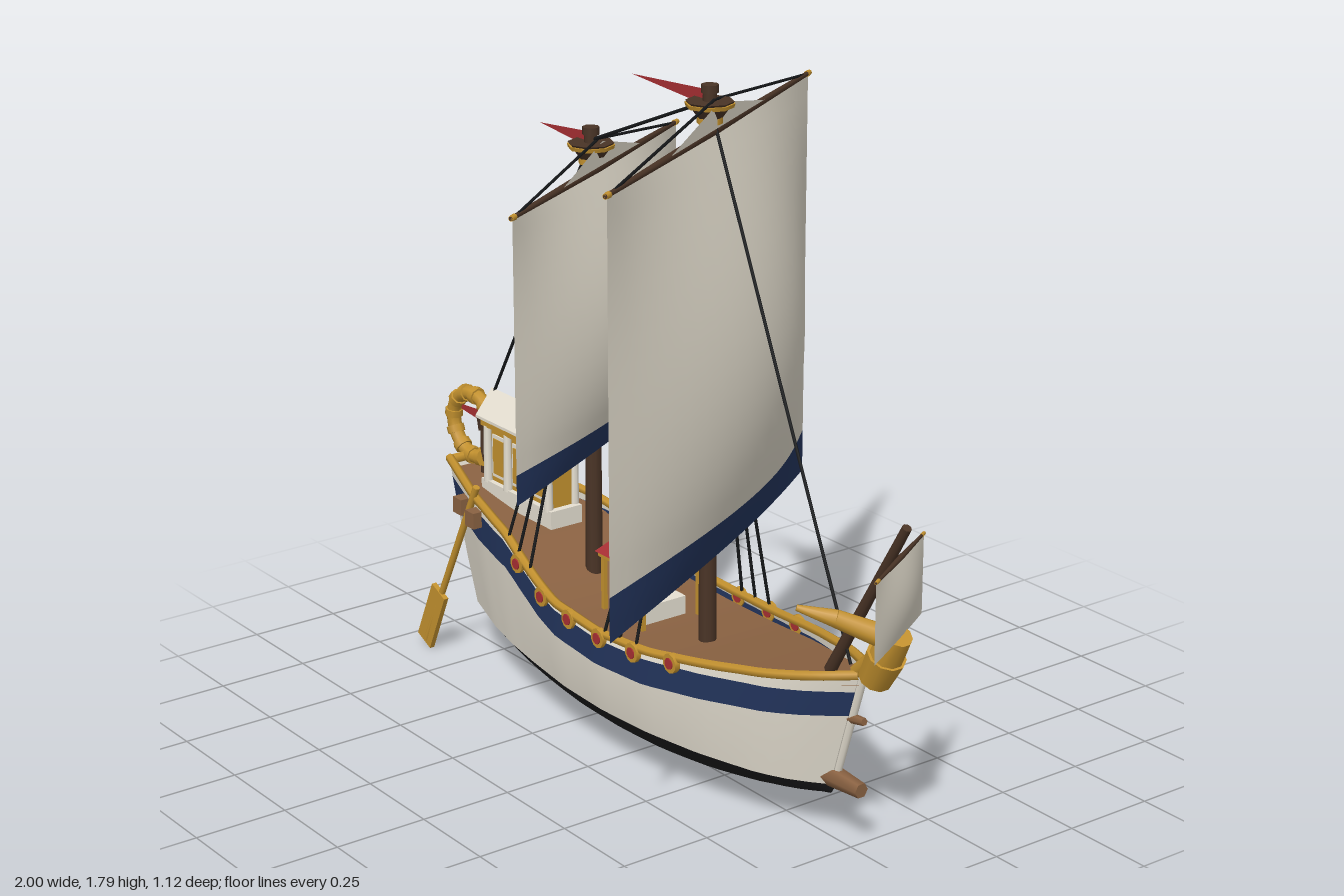
import * as THREE from 'three';

const mat = (name, color, double) => {
  const m = new THREE.MeshStandardMaterial({ color });
  m.name = name;
  if (double) m.side = THREE.DoubleSide;
  return m;
};

export function createModel() {
  const root = new THREE.Group();
  root.name = 'sailingShip';
  const cream = mat('creamPaint', 0xe6e0d2, true), navy = mat('navyPaint', 0x24365f, true);
  const pitch = mat('blackPitch', 0x1d1d1e, true), gold = mat('gold', 0xc4922f);
  const deckWood = mat('deckWood', 0x8a6242), darkWood = mat('darkWood', 0x4a3426);
  const red = mat('red', 0xa82f33, true), rope = mat('rope', 0x16181a);
  const canvas = mat('sailCanvas', 0xded8c9, true);

  const V = (x, y, z) => new THREE.Vector3(x, y, z);
  const add = (name, geo, m, parent = root) => {
    const mesh = new THREE.Mesh(geo, m);
    mesh.name = name;
    parent.add(mesh);
    return mesh;
  };
  const box = (name, w, h, d, x, y, z, m, parent) => {
    const b = add(name, new THREE.BoxGeometry(w, h, d), m, parent);
    b.position.set(x, y, z);
    return b;
  };
  // round bar from a (radius ra) to b (radius rb)
  const bar = (name, a, b, ra, rb, m, sides = 8, parent = root) => {
    const dir = b.clone().sub(a);
    const mesh = add(name, new THREE.CylinderGeometry(rb, ra, dir.length(), sides), m, parent);
    mesh.position.copy(a).add(b).multiplyScalar(0.5);
    mesh.quaternion.setFromUnitVectors(V(0, 1, 0), dir.normalize());
    return mesh;
  };
  // surface patch: u runs right and v runs down when seen from its front
  const patch = (fn, nu, nv) => {
    const g = new THREE.PlaneGeometry(1, 1, nu, nv), p = g.attributes.position;
    for (let i = 0; i < p.count; i++) {
      const q = fn(p.getX(i) + 0.5, 0.5 - p.getY(i));
      p.setXYZ(i, q.x, q.y, q.z);
    }
    g.computeVertexNormals();
    return g;
  };
  const table = (pts, x) => {
    if (x <= pts[0][0]) return pts[0][1];
    for (let i = 1; i < pts.length; i++) {
      const [x0, y0] = pts[i - 1], [x1, y1] = pts[i];
      if (x <= x1) return y0 + (y1 - y0) * (x - x0) / (x1 - x0);
    }
    return pts[pts.length - 1][1];
  };

  // ---- hull: lines of height and half beam along the length
  const sheerPts = [[-0.9, 0.53], [-0.7, 0.5], [-0.5, 0.475], [-0.4, 0.435], [-0.3, 0.395], [-0.2, 0.375],
    [0, 0.365], [0.2, 0.373], [0.4, 0.4], [0.6, 0.43], [0.78, 0.465]];
  const beamPts = [[-0.9, 0.065], [-0.7, 0.13], [-0.55, 0.165], [-0.4, 0.19], [-0.2, 0.217], [0, 0.225],
    [0.2, 0.213], [0.4, 0.18], [0.6, 0.125], [0.7, 0.075], [0.78, 0.012]];
  const xAt = t => -0.9 + 1.68 * t;
  const sheer = x => table(sheerPts, x), beam = x => table(beamPts, x);
  const spread = [0.98, 1, 1, 0.97, 0.9, 0.62, 0.32, 0];
  const hullPoint = (t, level, side) => {
    const s = 2 * t - 1, top = sheer(xAt(t)), keel = 0.03 + 0.085 * Math.abs(s) ** 2.5;
    const nt = top - 0.014 - 0.03 * s * s, nb = nt - 0.07 - (s < 0 ? 0.025 * s * s : 0);
    const ys = [top, nt, nb, (nb + 0.145) / 2, 0.145, 0.145 + (keel - 0.145) * 0.6, 0.145 + (keel - 0.145) * 0.87, keel];
    const i = Math.min(6, Math.floor(level)), f = level - i;
    const y = ys[i] + (ys[i + 1] - ys[i]) * f, w = spread[i] + (spread[i + 1] - spread[i]) * f;
    const xs = -0.79 - 0.3 * Math.max(0, y - 0.145), xb = 0.68 + 0.31 * (y - 0.145);
    return V(xs + (xb - xs) * t, y, side * w * beam(xAt(t)));
  };
  const strakes = [['upperStrake', 0, 1, cream], ['navyBand', 1, 2, navy], ['hullSide', 2, 4, cream], ['hullBottom', 4, 7, pitch]];
  for (const [name, a, b, m] of strakes) {
    const lv = v => a + (b - a) * v;
    for (const side of [1, -1])
      add(name, patch((u, v) => hullPoint(side > 0 ? u : 1 - u, lv(v), side), 34, b - a), m);
    for (const end of [0, 1])
      add(name + 'End', patch((u, v) => hullPoint(end, lv(v), (u * 2 - 1) * (end ? -1 : 1)), 2, b - a), m);
  }
  add('deck', patch((u, v) => {
    const p = hullPoint(u, 0, (v * 2 - 1) * 0.97);
    p.y -= 0.022;
    return p;
  }, 34, 2), deckWood);
  // gunwale rail running round both sides
  for (const side of [1, -1]) {
    const pts = [];
    for (let i = 0; i <= 24; i++) pts.push(hullPoint(i / 24, 0, side).add(V(0, 0.006, 0)));
    add('rail', new THREE.TubeGeometry(new THREE.CatmullRomCurve3(pts), 60, 0.0125, 6), gold);
    // shields hung along the rail
    for (let i = 0; i < 6; i++) {
      const x = -0.385 + i * 0.135, z = side * (beam(x) + 0.002);
      for (const [name, r, d, m] of [['shieldRim', 0.026, 0.016, gold], ['shieldFace', 0.015, 0.022, red]]) {
        const s = add(name, new THREE.CylinderGeometry(r, r, d, 10), m);
        s.rotation.x = Math.PI / 2;
        s.position.set(x, sheer(x) - 0.006, z);
      }
    }
    // steering oar and its brackets
    for (const x of [-0.76, -0.655]) box('oarBracket', 0.04, 0.045, 0.04, x, 0.455, side * (beam(x) + 0.008), deckWood);
    const topEnd = V(-0.66, 0.54, side * 0.14), low = V(-0.9, 0.02, side * 0.157);
    bar('oarShaft', topEnd, low, 0.01, 0.009, gold);
    const blade = box('oarBlade', 0.066, 0.19, 0.014, -0.869, 0.1, side * 0.155, gold);
    blade.rotation.z = -0.43;
  }
  bar('sternRail', hullPoint(0, 0, -1), hullPoint(0, 0, 1), 0.014, 0.014, gold);
  bar('stemPost', V(0.682, 0.14, 0), V(0.785, 0.475, 0), 0.01, 0.012, cream, 6);
  bar('lowerRam', V(0.64, 0.165, 0), V(0.785, 0.165, 0), 0.031, 0.02, deckWood, 6);
  bar('upperRam', V(0.7, 0.337, 0), V(0.79, 0.349, 0), 0.016, 0.01, deckWood, 6);

  // ---- masts with lookout tops and pennants
  const mast = (x, top, len) => {
    bar('mast', V(x, 0.34, 0), V(x, top, 0), 0.023, 0.017, darkWood, 10);
    bar('lookoutCup', V(x, top - 0.085, 0), V(x, top - 0.04, 0), 0.028, 0.06, darkWood);
    bar('lookoutRing', V(x, top - 0.055, 0), V(x, top - 0.045, 0), 0.059, 0.062, gold);
    bar('lookoutCollar', V(x, top - 0.095, 0), V(x, top - 0.08, 0), 0.032, 0.032, gold);
    bar('mastCap', V(x, top - 0.02, 0), V(x, top, 0), 0.022, 0.022, darkWood);
    const f = new THREE.Shape([[0, 0.02], [-len, 0], [0, -0.02]].map(p => new THREE.Vector2(...p)));
    add('pennant', new THREE.ShapeGeometry(f), red).position.set(x - 0.015, top - 0.035, 0);
  };
  mast(0.175, 1.79, 0.3);
  mast(-0.315, 1.585, 0.21);

  // ---- braced square sails; local x is the yard, local -z is downwind
  const sail = (name, x, z, len, top, drop, band, belly, arch) => {
    const g = new THREE.Group();
    g.name = name;
    g.position.set(x, top, z);
    g.rotation.y = -Math.PI / 3;
    root.add(g);
    const cut = 1 - band / drop;
    const cloth = (a, b) => patch((u, w) => {
      const v = a + (b - a) * w, hump = Math.sin(Math.PI * u);
      return V((u - 0.5) * len * 0.985, -v * (drop - arch * hump), -belly * hump * Math.sin(Math.PI * 0.85 * v));
    }, 20, b - a > 0.5 ? 16 : 4);
    add('sailCloth', cloth(0, cut), canvas, g);
    if (band) add('sailBand', cloth(cut, 1), navy, g);
    const r = len > 0.5 ? 0.012 : 0.007;
    for (const s of [1, -1]) {
      bar('yard', V(0, 0, 0), V(s * len / 2, 0, 0), r, r * 0.5, darkWood, 8, g);
      bar('yardTip', V(s * (len / 2 - 0.02), 0, 0), V(s * len / 2, 0, 0), r * 0.7, r * 0.6, gold, 8, g);
      if (band) bar('yardLift', V(0, 0.075, 0), V(s * len * 0.48, 0, 0), 0.004, 0.004, rope, 5, g);
    }
    if (band) {
      const tri = new THREE.Shape([[-len * 0.23, 0.008], [len * 0.23, 0.008], [0, 0.07]].map(p => new THREE.Vector2(...p)));
      add('topsail', new THREE.ShapeGeometry(tri), canvas, g).position.z = -0.012;
    }
  };
  sail('mainSail', 0.19, -0.003, 1.28, 1.68, 1.085, 0.115, 0.16, 0.055);
  sail('aftSail', -0.3, -0.012, 1.02, 1.48, 0.74, 0.08, 0.125, 0.035);
  sail('bowSail', 0.905, 0, 0.34, 0.81, 0.205, 0, 0.02, 0.01);
  bar('bowMast', V(0.66, 0.44, 0), V(0.925, 0.89, 0), 0.016, 0.012, darkWood);

  // ---- standing rigging
  const line = (name, a, b) => bar(name, a, b, 0.0045, 0.0045, rope, 5);
  line('foreStay', V(0.175, 1.74, 0), V(0.735, 0.48, 0));
  line('mastStay', V(-0.315, 1.55, 0), V(0.175, 1.75, 0));
  line('backStay', V(-0.315, 1.55, 0), V(-0.84, 0.64, 0));
  for (const [mx, top] of [[0.175, 1.42], [-0.315, 1.28]])
    for (const dx of [-0.14, -0.08, -0.015])
      for (const side of [1, -1])
        line('shroud', V(mx, top, 0), V(mx + dx, sheer(mx + dx), side * beam(mx + dx)));

  // ---- midship canopy with red hipped roof
  const cx = -0.0615;
  const roof = add('canopyRoof', patch((u, v) => {
    const a = Math.PI / 4 + u * Math.PI * 2, r = v < 0.1 ? 0.55 : 1;
    return V(Math.cos(a) * 0.139 * r, v < 0.1 ? 0.05 : 0, -Math.sin(a) * 0.155 * r);
  }, 4, 1).toNonIndexed(), red);
  roof.geometry.computeVertexNormals();
  roof.position.set(cx, 0.51, 0);
  box('canopyRoofTop', 0.108, 0.006, 0.121, cx, 0.557, 0, red);
  box('canopyFrame', 0.185, 0.014, 0.205, cx, 0.504, 0, gold);
  for (const x of [-0.083, 0.083])
    for (const z of [-0.09, 0.09]) box('canopyPost', 0.012, 0.16, 0.012, cx + x, 0.425, z, gold);
  box('cargoChest', 0.12, 0.05, 0.13, cx, 0.37, 0, cream);

  // ---- stern cabin: gold walls, pale columns, gabled roof
  box('cabinBase', 0.33, 0.05, 0.1, -0.605, 0.49, 0, cream);
  box('cabinWalls', 0.29, 0.18, 0.07, -0.605, 0.595, 0, gold);
  box('cabinBeam', 0.33, 0.018, 0.1, -0.605, 0.677, 0, gold);
  for (let i = 0; i < 4; i++)
    for (const side of [1, -1]) {
      const x = -0.748 + i * 0.095;
      bar('cabinColumn', V(x, 0.51, side * 0.042), V(x, 0.67, side * 0.042), 0.013, 0.011, cream);
      if (i < 3) box('cabinPanelFrame', 0.062, 0.12, 0.006, x + 0.0475, 0.59, side * 0.036, cream);
      if (i < 3) box('cabinPanel', 0.046, 0.1, 0.008, x + 0.0475, 0.59, side * 0.038, gold);
    }
  const gable = new THREE.Shape([[-0.054, 0], [0.054, 0], [0.054, 0.008], [0, 0.075], [-0.054, 0.008]].map(p => new THREE.Vector2(...p)));
  const cabinRoof = add('cabinRoof', new THREE.ExtrudeGeometry(gable, { depth: 0.35, bevelEnabled: false }), cream);
  cabinRoof.rotation.y = Math.PI / 2;
  cabinRoof.position.set(-0.787, 0.685, 0);
  bar('roofFinial', V(-0.61, 0.75, 0), V(-0.61, 0.8, 0), 0.012, 0.001, gold);

  // ---- stern curl with ribs, lantern and small flag
  const curl = [];
  for (let i = 0; i <= 14; i++) {
    const a = Math.PI * (1.62 - 1.32 * i / 14);
    curl.push(V(-0.878 + 0.1 * Math.cos(a), 0.625 + 0.09 * Math.sin(a), 0));
  }
  const curlPath = new THREE.CatmullRomCurve3(curl);
  add('sternCurl', new THREE.TubeGeometry(curlPath, 32, 0.02, 8), gold);
  for (let i = 0; i <= 8; i++) {
    const p = curlPath.getPointAt(i / 8), t = curlPath.getTangentAt(i / 8).multiplyScalar(0.01);
    bar('curlRib', p.clone().sub(t), p.clone().add(t), 0.025, 0.025, gold);
  }
  bar('flagPost', V(-0.835, 0.5, 0), V(-0.835, 0.69, 0), 0.007, 0.007, darkWood);
  bar('lantern', V(-0.835, 0.625, 0), V(-0.835, 0.67, 0), 0.014, 0.02, darkWood, 6);
  const flag = new THREE.Shape([[0, 0.018], [-0.1, 0.01], [-0.1, -0.004], [0, -0.014]].map(p => new THREE.Vector2(...p)));
  add('sternFlag', new THREE.ShapeGeometry(flag), red).position.set(-0.84, 0.66, 0);

  // ---- horned bow figurehead
  bar('figureSnout', V(0.865, 0.55, 0), V(0.825, 0.475, 0), 0.05, 0.042, gold, 10);
  bar('figureHead', V(0.905, 0.615, 0), V(0.86, 0.54, 0), 0.036, 0.044, gold, 10);
  bar('figureNeck', V(0.76, 0.47, 0), V(0.87, 0.57, 0), 0.02, 0.026, gold);
  for (const side of [1, -1]) {
    const knee = V(0.795, 0.645, side * 0.1);
    bar('horn', V(0.88, 0.595, 0), knee, 0.032, 0.023, gold);
    bar('hornTip', knee, V(0.735, 0.67, side * 0.17), 0.023, 0.008, gold);
  }
  return root;
}
